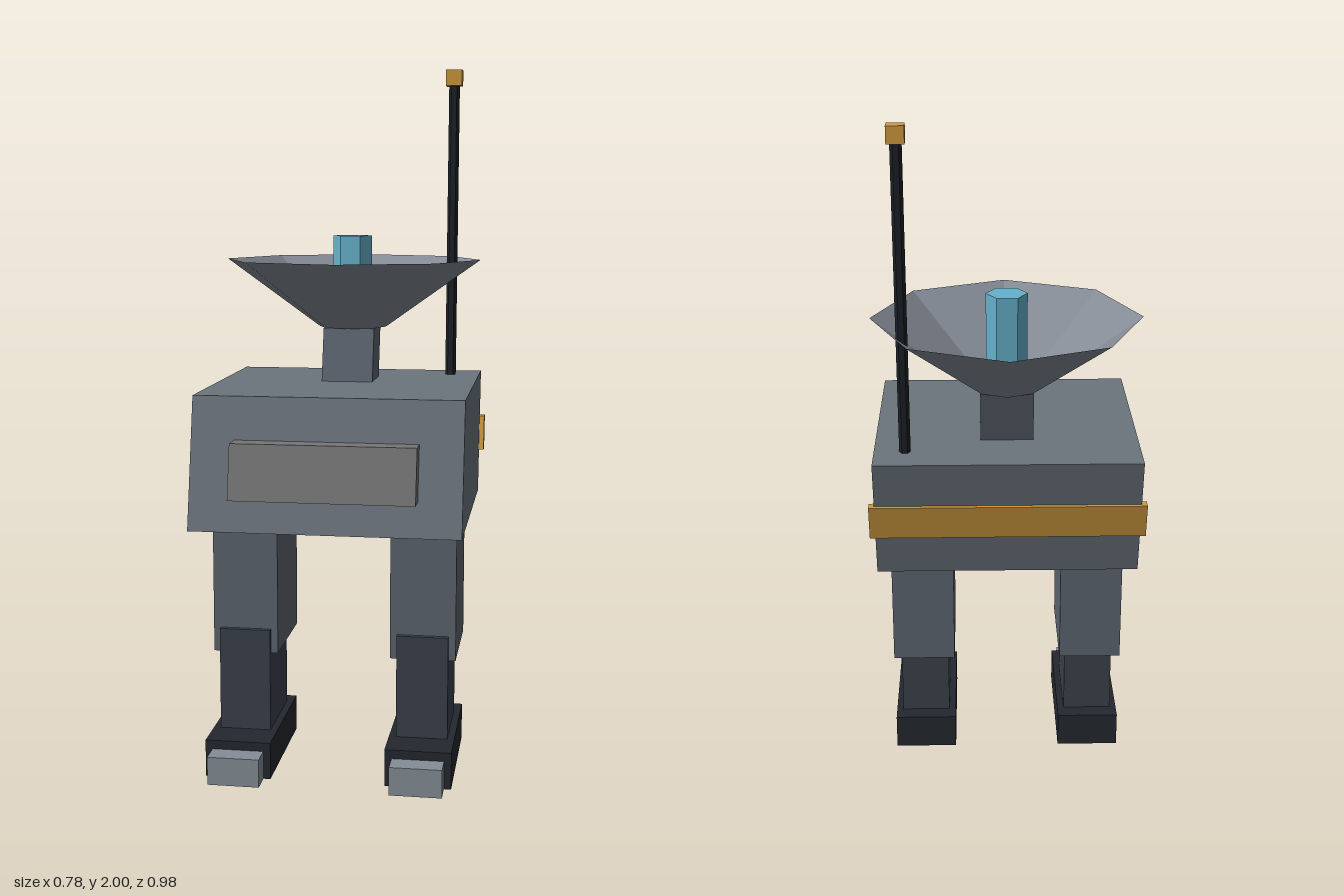
import * as THREE from 'three';

const COLORS = {
  body: 0x6b747d, panel: 0x767676, thigh: 0x5c656f, shin: 0x3b414b, foot: 0x24282e,
  toe: 0x848d96, dish: 0x848b95, gold: 0xcf9a3c, blue: 0x66b2cc, mast: 0x1c2026,
};
const LEAN = -0.222; // z shift per unit of height on the torso

function material(key, side = THREE.FrontSide) {
  return new THREE.MeshStandardMaterial({ color: COLORS[key], flatShading: true, side });
}

function addMesh(parent, name, geometry, key, side) {
  const mesh = new THREE.Mesh(geometry, material(key, side));
  mesh.name = name;
  parent.add(mesh);
  return mesh;
}

// Slides each vertex along z in proportion to its height above the base
function shear(geometry, lean, baseY) {
  const p = geometry.attributes.position;
  for (let i = 0; i < p.count; i++) p.setZ(i, p.getZ(i) + lean * (p.getY(i) - baseY));
  geometry.computeVertexNormals();
  return geometry;
}

// Box from its limits; z limits are those at the base when it leans
function box([x0, x1], [y0, y1], [z0, z1], lean = 0) {
  const g = new THREE.BoxGeometry(x1 - x0, y1 - y0, z1 - z0);
  g.translate((x0 + x1) / 2, (y0 + y1) / 2, (z0 + z1) / 2);
  return lean ? shear(g, lean, y0) : g;
}

// Leg with a foot and toe, centred on the given x
function createLeg(name, x) {
  const leg = new THREE.Group();
  leg.name = name;
  const wide = [-0.093, 0.093], slim = [-0.073, 0.073];
  addMesh(leg, 'thigh', box(wide, [0.33, 0.74], [-0.055, 0.25]), 'thigh');
  addMesh(leg, 'shin', box(slim, [0.1, 0.4], [0.012, 0.265]), 'shin');
  addMesh(leg, 'foot', box(wide, [0, 0.105], [-0.037, 0.37]), 'foot');
  addMesh(leg, 'toe', box(slim, [0, 0.08], [0.35, 0.435]), 'toe');
  leg.position.x = x;
  return leg;
}

export function createModel() {
  const model = new THREE.Group();
  model.name = 'walkingRobot';

  // Leaning torso with front panel and rear band
  addMesh(model, 'torso', box([-0.373, 0.373], [0.725, 1.087], [-0.243, 0.45], LEAN), 'body');
  addMesh(model, 'frontPanel', box([-0.253, 0.253], [0.82, 0.97], [0.41, 0.488], LEAN), 'panel');
  addMesh(model, 'rearBand', box([-0.388, 0.388], [0.85, 0.952], [-0.284, -0.251], LEAN), 'gold');

  // Legs
  model.add(createLeg('leftLeg', 0.252), createLeg('rightLeg', -0.257));

  // Neck, open dish and its receiver
  addMesh(model, 'neck', box([-0.075, 0.075], [1.07, 1.24], [-0.136, 0.014], -0.25), 'thigh');
  const dish = new THREE.CylinderGeometry(0.38, 0.1, 0.2, 8, 1, true);
  addMesh(model, 'dish', dish, 'dish', THREE.DoubleSide).position.set(0, 1.34, -0.109);
  const receiver = new THREE.CylinderGeometry(0.058, 0.058, 0.28, 6).rotateY(Math.PI / 2);
  shear(receiver, -0.04, 0.14);
  addMesh(model, 'receiver', receiver, 'blue').position.set(0, 1.37, -0.111);

  // Tilted antenna on the left rear corner
  const antenna = new THREE.Group();
  antenna.name = 'antenna';
  const mast = new THREE.CylinderGeometry(0.016, 0.016, 0.9, 6).rotateY(Math.PI / 2);
  mast.translate(0, 0.45, 0);
  addMesh(antenna, 'mast', shear(mast, -0.055, 0), 'mast');
  addMesh(antenna, 'tip', box([-0.024, 0.024], [0.883, 0.93], [-0.074, -0.026]), 'gold');
  antenna.position.set(0.286, 1.07, -0.22);
  model.add(antenna);

  return model;
}
